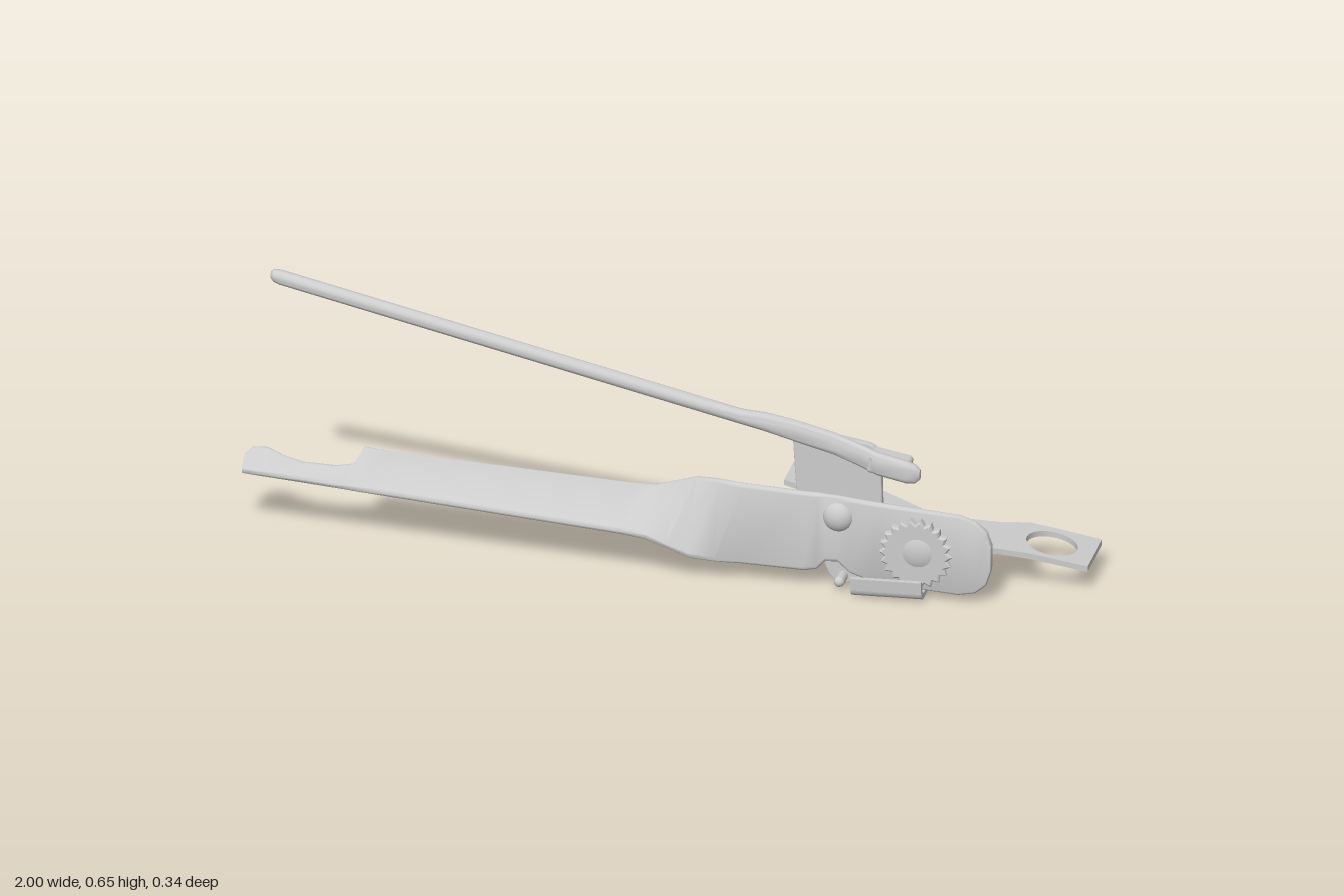
import * as THREE from 'three';
import { toCreasedNormals } from 'three/addons/utils/BufferGeometryUtils.js';
import { RoundedBoxGeometry } from 'three/addons/geometries/RoundedBoxGeometry.js';

const material = new THREE.MeshStandardMaterial({ color: 0xcccccc });

function add(group, name, geometry) {
  const mesh = new THREE.Mesh(geometry, material);
  mesh.name = name;
  group.add(mesh);
  return mesh;
}

// Lofts a rounded strip along x. Station: [x, topY, topZ, bottomY, bottomZ, thickness]
function loftStrip(stations) {
  const half = 8, ring = 2 * (half + 1);
  const pos = [], idx = [];
  for (const [x, ty, tz, by, bz, t = 0.02] of stations) {
    const cy = (ty + by) / 2, cz = (tz + bz) / 2;
    const len = Math.hypot(ty - by, tz - bz);
    const uy = (ty - by) / len, uz = (tz - bz) / len;
    const r = Math.min(t, len) / 2, s = len / 2 - r;
    for (let j = 0; j < ring; j++) {
      const upper = j <= half;
      const a = upper ? -Math.PI / 2 + (j * Math.PI) / half : Math.PI / 2 + ((j - half - 1) * Math.PI) / half;
      const along = (upper ? s : -s) + r * Math.cos(a), out = (t / 2) * Math.sin(a);
      pos.push(x, cy + uy * along - uz * out, cz + uz * along + uy * out);
    }
  }
  const n = stations.length;
  for (let i = 0; i < n - 1; i++) {
    for (let j = 0; j < ring; j++) {
      const k = (j + 1) % ring;
      const a = i * ring + j, b = i * ring + k, c = a + ring, d = b + ring;
      idx.push(a, b, c, b, d, c);
    }
  }
  const last = (n - 1) * ring;
  for (let j = 1; j < ring - 1; j++) {
    idx.push(0, j + 1, j, last, last + j, last + j + 1);
  }
  const geo = new THREE.BufferGeometry();
  geo.setAttribute('position', new THREE.Float32BufferAttribute(pos, 3));
  geo.setIndex(idx);
  return toCreasedNormals(geo, 0.7);
}

function outline(points) {
  return new THREE.Shape(points.map(([x, y]) => new THREE.Vector2(x, y)));
}

function roundHole(x, y, r) {
  const path = new THREE.Path();
  path.absarc(x, y, r, 0, Math.PI * 2, true);
  return path;
}

// Lower handle with bottle hook: the front edge is straight, only the back edge varies
function handleStations() {
  const backEdge = [
    [-1, 0.172, 0.06], [-0.985, 0.183, 0.04], [-0.95, 0.184, 0.038], [-0.91, 0.175, 0.055],
    [-0.86, 0.169, 0.067], [-0.78, 0.168, 0.068], [-0.74, 0.172, 0.058], [-0.725, 0.196, 0.012],
    [-0.66, 0.191, 0.014], [-0.08, 0.18, 0.036],
  ];
  return backEdge.map(([x, y, z]) => [x, y, z, 0.141 - 0.036 * (x + 1), 0.097 + 0.07 * (x + 1)]);
}

// Neck and upright head plate, with the notch in its lower edge
function headStations() {
  return [
    [-0.02, 0.184, 0.038, 0.102, 0.165],
    [0.03, 0.203, 0.045, 0.082, 0.163],
    [0.08, 0.226, 0.06, 0.058, 0.153],
    [0.14, 0.236, 0.083, 0.047, 0.137],
    [0.2, 0.238, 0.1, 0.044, 0.126],
    [0.35, 0.236, 0.108, 0.04, 0.122],
    [0.38, 0.236, 0.108, 0.047, 0.122],
    [0.4, 0.235, 0.109, 0.068, 0.121],
    [0.43, 0.234, 0.109, 0.07, 0.121],
    [0.46, 0.231, 0.11, 0.045, 0.123],
    [0.52, 0.226, 0.11, 0.027, 0.125],
    [0.72, 0.214, 0.113, 0.016, 0.126],
    [0.76, 0.202, 0.114, 0.024, 0.125],
    [0.785, 0.182, 0.115, 0.045, 0.124],
    [0.797, 0.15, 0.117, 0.08, 0.122],
  ];
}

// Upper rod flattening into a strip that steps forward at its end
function leverGeometry() {
  const rod = (x, r) => {
    const y = 0.63 - 0.2035 * (x + 0.93), z = 0.047 + 0.035 * (x + 0.93);
    return [x, y + r, z - 0.001, y - r, z, r * 2];
  };
  return loftStrip([
    rod(-0.942, 0.008), rod(-0.936, 0.015), rod(-0.92, 0.018), rod(0.1, 0.018), rod(0.19, 0.018),
    [0.25, 0.417, 0.086, 0.372, 0.089, 0.034],
    [0.33, 0.405, 0.09, 0.353, 0.094, 0.03],
    [0.42, 0.388, 0.1, 0.335, 0.104, 0.03],
    [0.48, 0.376, 0.118, 0.322, 0.122, 0.03],
    [0.53, 0.367, 0.138, 0.311, 0.142, 0.03],
    [0.6, 0.355, 0.145, 0.3, 0.147, 0.03],
    [0.622, 0.348, 0.145, 0.302, 0.147, 0.026],
    [0.633, 0.337, 0.146, 0.312, 0.147, 0.014],
  ]);
}

// Pivoting plate between lever and head
function cuttingPlateGeometry() {
  const s = new THREE.Shape();
  s.moveTo(0.32, 0.36);
  s.quadraticCurveTo(0.32, 0.39, 0.35, 0.388);
  s.lineTo(0.49, 0.365);
  s.quadraticCurveTo(0.525, 0.36, 0.525, 0.32);
  s.lineTo(0.53, 0.1);
  s.lineTo(0.62, 0.05);
  s.lineTo(0.62, 0.02);
  s.lineTo(0.44, 0.01);
  s.quadraticCurveTo(0.41, 0.01, 0.4, 0.04);
  s.lineTo(0.33, 0.2);
  const geo = new THREE.ExtrudeGeometry(s, { depth: 0.012, bevelSize: 0.003, bevelThickness: 0.003, bevelSegments: 2 });
  return geo.translate(0, 0, 0.084);
}

// U-shaped rim guide below the wheel; shape x is -z
function rimGuideGeometry() {
  const s = new THREE.Shape();
  s.moveTo(-0.165, 0.05);
  s.lineTo(-0.163, 0.02);
  s.quadraticCurveTo(-0.16, 0.002, -0.14, 0.002);
  s.lineTo(-0.102, 0.002);
  s.quadraticCurveTo(-0.086, 0.002, -0.086, 0.02);
  s.lineTo(-0.084, 0.06);
  s.lineTo(-0.098, 0.06);
  s.lineTo(-0.099, 0.026);
  s.quadraticCurveTo(-0.1, 0.016, -0.11, 0.015);
  s.lineTo(-0.138, 0.015);
  s.quadraticCurveTo(-0.149, 0.016, -0.15, 0.026);
  s.lineTo(-0.152, 0.05);
  const geo = new THREE.ExtrudeGeometry(s, { depth: 0.17, bevelEnabled: false });
  geo.rotateY(Math.PI / 2);
  return geo.translate(0.47, 0, 0);
}

function feedWheelGeometry() {
  const teeth = 22, pts = [];
  for (let i = 0; i < teeth * 2; i++) {
    const a = (i / teeth) * Math.PI, r = i % 2 ? 0.076 : 0.088;
    pts.push([r * Math.cos(a), r * Math.sin(a)]);
  }
  return new THREE.ExtrudeGeometry(outline(pts), { depth: 0.016, bevelSize: 0.004, bevelThickness: 0.004, bevelOffset: -0.004, bevelSegments: 1 });
}

// Butterfly key drawn in plan (x, z), laid flat and then tilted
function turnKeyGeometry() {
  const s = outline([
    [0.27, -0.17], [0.33, -0.173], [0.38, -0.163], [0.48, -0.1], [0.59, -0.062], [0.59, 0.012],
    [0.61, 0.024], [0.65, 0.024], [0.67, 0.012], [0.67, -0.062], [0.77, -0.1], [0.83, -0.137],
    [0.88, -0.143], [1.0, -0.15], [1.0, 0.005], [0.87, 0.018], [0.8, 0.035], [0.685, 0.085],
    [0.655, 0.105], [0.595, 0.105], [0.56, 0.085], [0.47, 0.025], [0.4, -0.003], [0.27, -0.017],
  ]);
  s.holes.push(roundHole(0.365, -0.083, 0.06), roundHole(0.9, -0.062, 0.06));
  const geo = new THREE.ExtrudeGeometry(s, { depth: 0.014, bevelEnabled: false, curveSegments: 32 });
  geo.rotateX(Math.PI / 2);
  const p = geo.attributes.position;
  for (let i = 0; i < p.count; i++) p.setY(i, p.getY(i) + 0.132 - 0.19 * (p.getX(i) - 0.635));
  geo.computeVertexNormals();
  return geo;
}

export function createModel() {
  const model = new THREE.Group();
  model.name = 'canOpener';

  add(model, 'lowerHandleAndHead', loftStrip([...handleStations(), ...headStations()]));
  add(model, 'upperLever', leverGeometry());
  add(model, 'cuttingPlate', cuttingPlateGeometry());
  add(model, 'turnKey', turnKeyGeometry());

  const fold = add(model, 'leverFold', new RoundedBoxGeometry(0.1, 0.05, 0.055, 3, 0.01));
  fold.position.set(0.555, 0.333, 0.122);
  fold.rotation.z = -0.17;

  const guide = add(model, 'rimGuide', rimGuideGeometry());
  guide.rotation.z = 0.03;
  guide.position.y = -0.016;
  const tip = add(model, 'guideTip', new THREE.CapsuleGeometry(0.013, 0.035, 6, 12));
  tip.position.set(0.436, 0.024, 0.115);
  tip.rotation.x = Math.PI / 2;

  const wheel = add(model, 'feedWheel', feedWheelGeometry());
  wheel.position.set(0.62, 0.115, 0.124);

  // Domed fasteners: front pivot rivet and rear axle boss
  const rivet = add(model, 'pivotRivet', new THREE.SphereGeometry(0.038, 32, 16));
  rivet.position.set(0.43, 0.182, 0.112);
  rivet.scale.z = 0.75;
  const boss = add(model, 'axleBoss', new THREE.SphereGeometry(0.06, 32, 16));
  boss.position.set(0.625, 0.12, 0.115);
  boss.scale.z = 0.6;

  return model;
}
